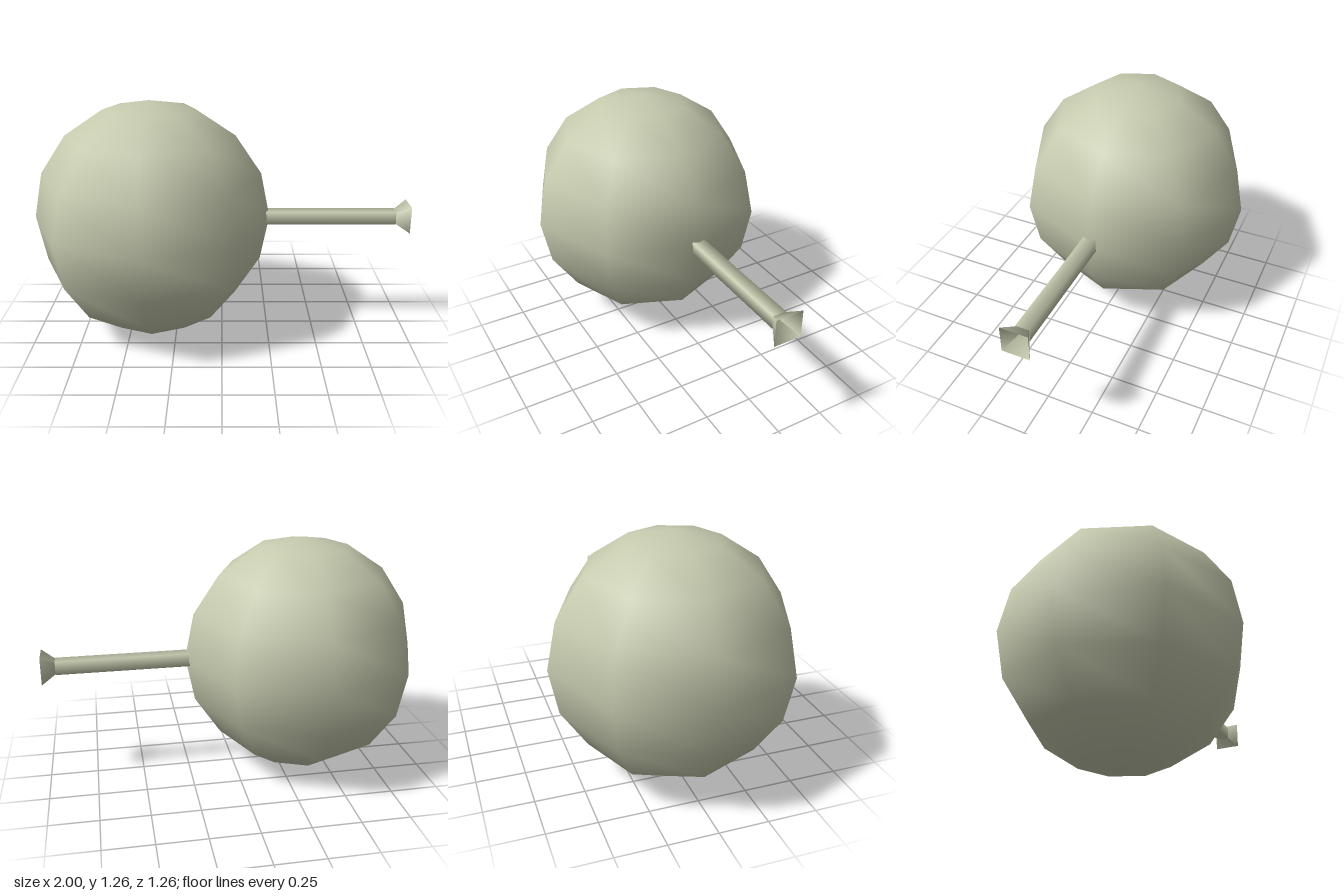
import * as THREE from 'three';

export function createModel() {
  const group = new THREE.Group();
  const material = new THREE.MeshStandardMaterial({ color: 0xc6caae, side: THREE.DoubleSide });
  const centreY = 0.63;

  const add = (name, geometry, x) => {
    const mesh = new THREE.Mesh(geometry, material);
    mesh.name = name;
    mesh.position.set(x, centreY, 0);
    group.add(mesh);
  };

  // Low-poly ball with smooth normals
  add('ball', new THREE.SphereGeometry(0.628, 8, 8), -0.373);

  // Square stem along x, its flats facing up and forward
  const start = 0.22, end = 0.93;
  const stem = new THREE.CylinderGeometry(0.035 * Math.SQRT2, 0.035 * Math.SQRT2, end - start, 4, 1, false, Math.PI / 4);
  add('stem', stem.rotateZ(Math.PI / 2), (start + end) / 2);

  // Open four-sided cone at the tip, its point buried in the stem
  const height = 0.126;
  const tip = new THREE.ConeGeometry(0.0725 * Math.SQRT2, height, 4, 1, true, Math.PI / 4);
  add('flaredTip', tip.rotateZ(Math.PI / 2), 1 - height / 2);

  // Keep the stem from showing inside the open cone
  const stemMesh = group.getObjectByName('stem');
  const p = stemMesh.geometry.attributes.position;
  for (let i = 0; i < p.count; i++) {
    // the cap centre sinks back to the cone's point
    if (p.getX(i) > 0 && Math.abs(p.getY(i)) < 0.001 && Math.abs(p.getZ(i)) < 0.001) {
      p.setX(i, 0.87 - stemMesh.position.x);
    }
  }
  return group;
}
